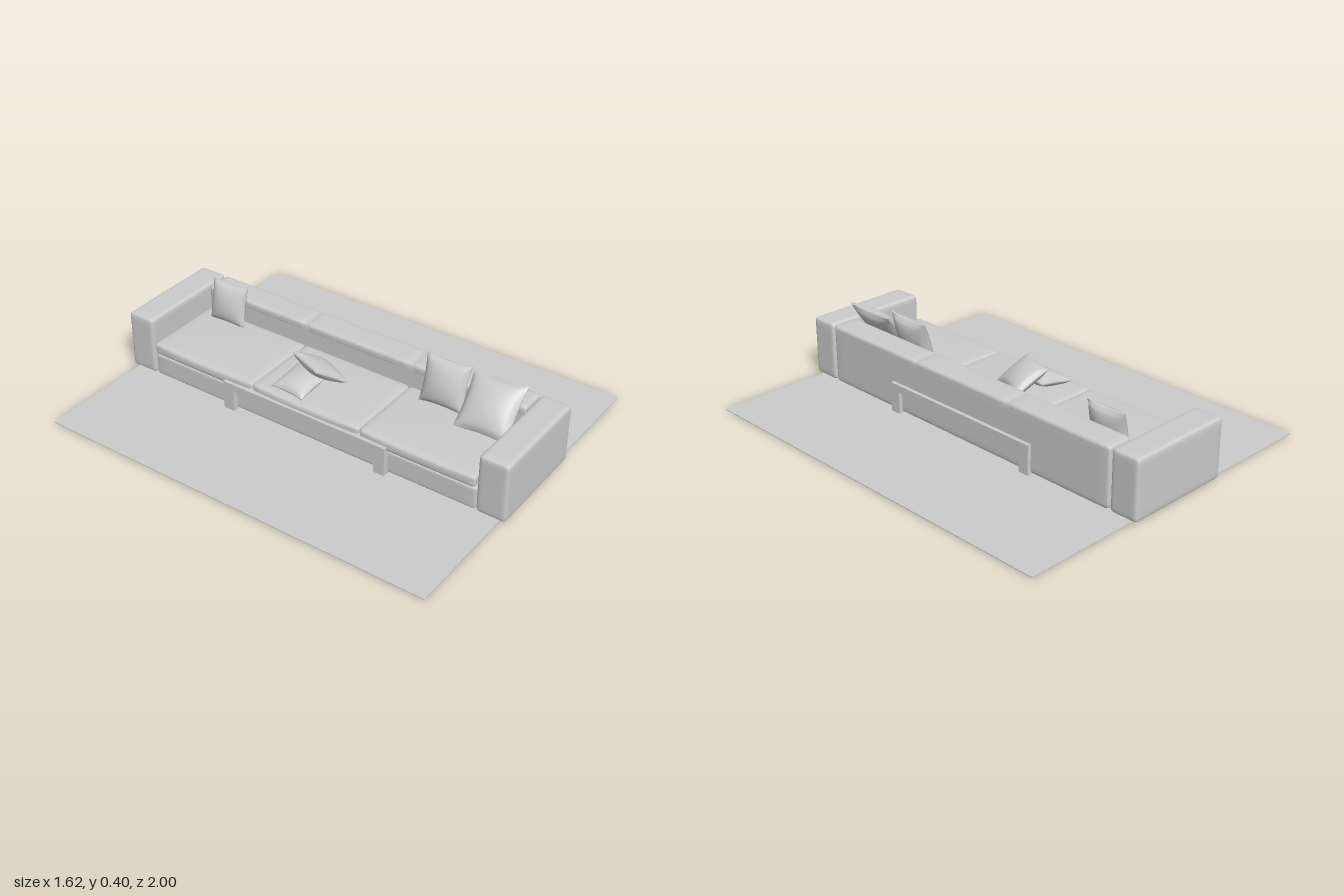
import * as THREE from 'three';
import { mergeVertices } from 'three/addons/utils/BufferGeometryUtils.js';

const material = new THREE.MeshStandardMaterial({ color: 0xcccccc });
const pillowMaterial = new THREE.MeshStandardMaterial({ color: 0xcccccc, side: THREE.DoubleSide });

// Upholstered block between two corners: rounded edges, optional swelling
function softBlock(min, max, radius, bulge = 0) {
  const n = 16;
  const half = max.map((v, i) => (v - min[i]) / 2);
  let g = new THREE.BoxGeometry(2, 2, 2, n, n, n);
  g.deleteAttribute('normal');
  g.deleteAttribute('uv');
  g = mergeVertices(g);
  const p = g.attributes.position;
  const v = new THREE.Vector3(), inner = new THREE.Vector3();
  for (let i = 0; i < p.count; i++) {
    // crowd the grid lines towards the edges, where the rounding is
    const u = [p.getX(i), p.getY(i), p.getZ(i)].map(t => Math.sin(t * Math.PI / 2));
    v.set(u[0] * half[0], u[1] * half[1], u[2] * half[2]);
    inner.set(...v.toArray().map((c, k) => THREE.MathUtils.clamp(c, radius - half[k], half[k] - radius)));
    v.sub(inner).setLength(radius).add(inner);
    v.y += bulge * u[1] * (1 - u[0] ** 2) * (1 - u[2] ** 2);
    v.x += bulge * u[0] * (1 - u[1] ** 2) * (1 - u[2] ** 2);
    p.setXYZ(i, v.x, v.y, v.z);
  }
  g.computeVertexNormals();
  g.translate(...min.map((m, i) => (m + max[i]) / 2));
  return g;
}

// Square pillow with pinched sides and thin seams
function pillowGeometry(w, h, thick) {
  const g = new THREE.BoxGeometry(2, 2, 2, 18, 18, 1);
  const p = g.attributes.position;
  for (let i = 0; i < p.count; i++) {
    const u = p.getX(i), v = p.getY(i);
    const swell = Math.pow(Math.max(0, (1 - u * u) * (1 - v * v)), 0.5);
    p.setXYZ(i,
      u * w / 2 * (1 - 0.08 * (1 - v * v)),
      v * h / 2 * (1 - 0.08 * (1 - u * u)),
      Math.sign(p.getZ(i)) * (0.003 + swell * thick / 2));
  }
  g.computeVertexNormals();
  return g;
}

export function createModel() {
  const model = new THREE.Group();
  const add = (name, geometry, parent = model, mat = material) => {
    const mesh = new THREE.Mesh(geometry, mat);
    mesh.name = name;
    parent.add(mesh);
    return mesh;
  };
  const box = (name, min, max, parent) => {
    const g = new THREE.BoxGeometry(...max.map((v, i) => v - min[i]));
    g.translate(...max.map((v, i) => (v + min[i]) / 2));
    return add(name, g, parent);
  };

  // Rug
  box('rug', [-0.81, 0, -0.97], [0.81, 0.004, 0.97]);

  // Sofa: arms at both ends, back along +x, seat facing -x
  const sofa = new THREE.Group();
  sofa.name = 'sofa';
  model.add(sofa);
  add('leftArm', softBlock([-0.262, 0.006, 0.86], [0.264, 0.29, 1], 0.018), sofa);
  add('rightArm', softBlock([-0.262, 0.006, -1], [0.264, 0.29, -0.86], 0.018), sofa);
  add('seatBase', softBlock([-0.255, 0.006, -0.855], [0.2, 0.115, 0.855], 0.012), sofa);
  add('back', softBlock([0.132, 0.006, -0.852], [0.264, 0.287, 0.852], 0.018), sofa);
  for (let i = -1; i <= 1; i++) {
    const z = i * 0.569;
    add('seatCushion', softBlock([-0.264, 0.118, z - 0.283], [0.135, 0.176, z + 0.283], 0.016, 0.006), sofa);
    add('backTopPanel', softBlock([0.131, 0.24, z - 0.283], [0.264, 0.29, z + 0.283], 0.018), sofa);
  }

  // Low table frame straddling the sofa
  const table = new THREE.Group();
  table.name = 'table';
  model.add(table);
  box('tableTop', [-0.284, 0.11, -0.43], [0.282, 0.145, 0.43], table);
  for (const x of [-0.259, 0.257])
    for (const z of [-0.403, 0.403])
      box('tableLeg', [x - 0.025, 0, z - 0.027], [x + 0.025, 0.112, z + 0.027], table);

  // Pillows: size, thickness, position, turn about y, lean backwards, roll
  const H = -Math.PI / 2;
  const pillows = [
    ['rightBackPillow', 0.2, 0.2, 0.08, [0.095, 0.268, -0.7], H, 0.22, 0.02],
    ['leftBackPillow', 0.22, 0.22, 0.085, [0.092, 0.288, 0.485], H, 0.3, 0.02],
    ['cornerPillow', 0.26, 0.26, 0.085, [0.072, 0.275, 0.72], H, 0.73, 0.03],
    ['flatPillow', 0.175, 0.18, 0.06, [-0.155, 0.205, -0.1], H - 0.08, 1.4, 0],
    ['proppedPillow', 0.2, 0.19, 0.07, [-0.055, 0.235, -0.068], 1.19, 0.98, 0],
  ];
  for (const [name, w, h, t, pos, turn, lean, roll] of pillows) {
    const m = add(name, pillowGeometry(w, h, t), model, pillowMaterial);
    m.position.set(...pos);
    m.rotation.set(-lean, turn, roll, 'YXZ');
  }
  return model;
}
